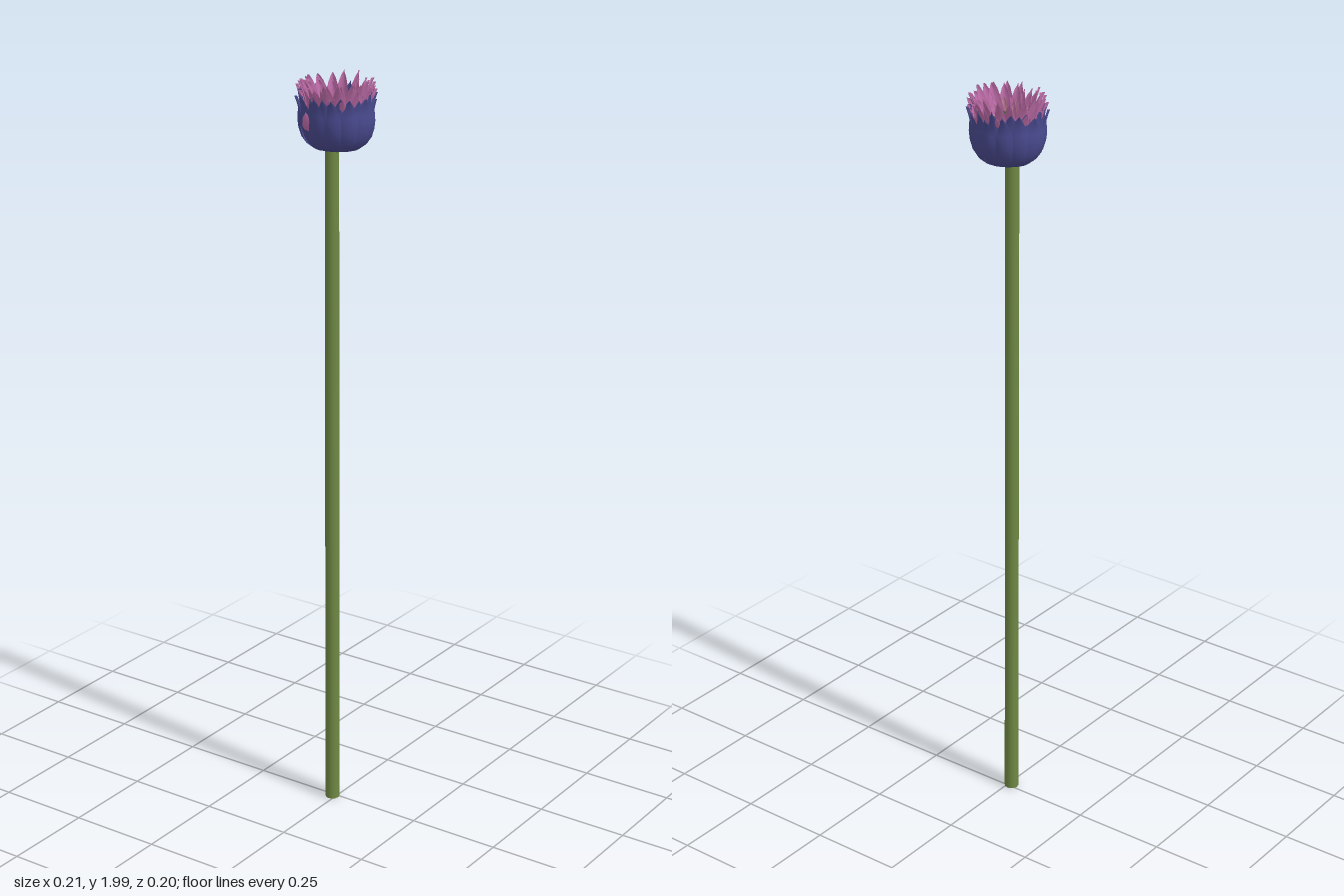
import * as THREE from 'three';
import { mergeGeometries } from 'three/addons/utils/BufferGeometryUtils.js';

const mat = (name, color) => {
  const m = new THREE.MeshStandardMaterial({ color, side: THREE.DoubleSide });
  m.name = name;
  return m;
};

// small seeded random, 0..1
let seed = 7;
const rand = () => {
  seed = (seed * 16807) % 2147483647;
  return seed / 2147483647;
};
const vary = (amount) => (rand() - 0.5) * 2 * amount;

// One petal: a strip following a [radius, height] curve, wrapped around the flower axis.
function petal(curve, angle, halfWidth, { widest = 0.6, point = 0.8, twist = 0.003, cup = 0.004, lift = 0, grow = 1 }) {
  const rows = 10, cols = 4, pos = [], index = [];
  for (let i = 0; i <= rows; i++) {
    const t = i / rows, p = curve.getPoint(t);
    const taper = t < widest
      ? 0.4 + 0.6 * Math.sin((t / widest) * Math.PI / 2)
      : Math.pow(Math.max(0, 1 - ((t - widest) / (1 - widest)) ** 2), point);
    for (let j = 0; j <= cols; j++) {
      const s = (j / cols) * 2 - 1;
      const r = p.x * grow + (twist * s - cup * s * s) * Math.min(1, t * 2);
      const a = angle + (s * halfWidth * taper) / Math.max(p.x, 0.02);
      pos.push(Math.sin(a) * r, p.y + lift * t * t, Math.cos(a) * r);
    }
  }
  const n = cols + 1;
  for (let i = 0; i < rows; i++)
    for (let j = 0; j < cols; j++) {
      const k = i * n + j;
      index.push(k, k + 1, k + n, k + 1, k + n + 1, k + n);
    }
  const g = new THREE.BufferGeometry();
  g.setAttribute('position', new THREE.Float32BufferAttribute(pos, 3));
  g.setIndex(index);
  g.computeVertexNormals();
  return g;
}

// A ring of petals sharing one profile, merged into a single mesh.
function whorl(name, material, count, profile, halfWidth, opts = {}) {
  const curve = new THREE.SplineCurve(profile.map(([r, y]) => new THREE.Vector2(r, y)));
  const parts = [];
  for (let i = 0; i < count; i++) {
    const angle = (i / count) * Math.PI * 2 + (opts.start ?? 0) + vary(opts.jitter ?? 0.05);
    parts.push(petal(curve, angle, halfWidth, {
      ...opts, lift: vary(opts.uneven ?? 0.008), grow: 1 + vary(0.02),
    }));
  }
  const mesh = new THREE.Mesh(mergeGeometries(parts), material);
  mesh.name = name;
  return mesh;
}

export function createModel() {
  const model = new THREE.Group();
  model.name = 'flower';
  const stemGreen = mat('stem green', 0x6f8843);
  const cutBrown = mat('cut end brown', 0x7a5548);
  const blue = mat('outer petal blue', 0x4a4a90);
  const pink = mat('petal pink', 0xbe6ca8);
  const rose = mat('petal rose', 0xc8809c);
  const peach = mat('inner petal peach', 0xdca878);
  const orange = mat('heart petal orange', 0xcf9058);
  const leafGreen = mat('leaf green', 0x5f9040);
  const dark = mat('heart dark', 0x4a3a28);

  // Stem with a brown cut end
  const stem = new THREE.Mesh(
    new THREE.CylinderGeometry(0.018, 0.019, 1.83, 12), [stemGreen, stemGreen, cutBrown]);
  stem.position.set(-0.01, 0.915, 0.008);
  stem.name = 'stem';
  model.add(stem);

  const head = new THREE.Group();
  head.name = 'flowerHead';
  head.position.x = -0.001;
  head.scale.z = 0.92;
  model.add(head);

  // Green base joining stem and petals
  const base = new THREE.Mesh(new THREE.SphereGeometry(0.03, 14, 8), stemGreen);
  base.scale.y = 0.4;
  base.position.set(-0.006, 1.82, 0.004);
  base.name = 'receptacle';
  head.add(base);

  // Blue outer cup, two overlapping rings with flared points
  head.add(whorl('outerPetals', blue, 14,
    [[0.012, 1.815], [0.06, 1.817], [0.09, 1.848], [0.099, 1.89], [0.097, 1.92], [0.106, 1.95]],
    0.026, { widest: 0.6, point: 1.1 }));
  head.add(whorl('outerPetalsBehind', blue, 14,
    [[0.012, 1.818], [0.056, 1.82], [0.086, 1.85], [0.095, 1.89], [0.093, 1.925], [0.1, 1.958]],
    0.026, { widest: 0.6, point: 1.1, start: 0.224 }));

  // One short pink petal lying on the front of the cup
  head.add(whorl('strayPetal', pink, 1,
    [[0.094, 1.862], [0.104, 1.88], [0.105, 1.897], [0.101, 1.915]],
    0.02, { start: -0.36, jitter: 0, uneven: 0 }));

  // Pink rings stepping inward, their pointed tips leaning outward
  const rings = [
    // waist radius, tip radius, tip height, count, material
    [0.087, 0.104, 1.965, 18, pink],
    [0.081, 0.099, 1.982, 17, pink],
    [0.075, 0.093, 1.982, 16, pink],
    [0.070, 0.087, 1.968, 15, pink],
    [0.065, 0.080, 1.945, 14, rose],
  ];
  rings.forEach(([waist, tip, y, count, material], i) => {
    head.add(whorl(`pinkPetals${i + 1}`, material, count,
      [[waist * 0.65, 1.835], [waist * 0.95, 1.865], [waist, 1.9], [waist + 0.003, y - 0.038], [tip, y]],
      0.016, { widest: 0.66, point: 1.1, start: i * 0.17, jitter: 0.08, uneven: 0.012 }));
  });

  // Broad green leaves leaning in over the bowl
  head.add(whorl('innerLeaves', leafGreen, 5,
    [[0.062, 1.875], [0.067, 1.895], [0.063, 1.913], [0.046, 1.926]],
    0.024, { widest: 0.45, point: 1.1, start: 0.88, jitter: 0.15, cup: 0 }));

  // Peach bowl and orange rosette
  const heart = new THREE.Group();
  heart.name = 'heart';
  heart.position.x = -0.006;
  head.add(heart);
  heart.add(whorl('bowlPetals', peach, 15,
    [[0.004, 1.848], [0.03, 1.85], [0.052, 1.872], [0.063, 1.912]],
    0.014, { widest: 0.7, cup: -0.002 }));
  heart.add(whorl('heartPetalsOuter', peach, 13,
    [[0.003, 1.855], [0.024, 1.86], [0.043, 1.872], [0.055, 1.892]],
    0.011, { widest: 0.7, point: 0.6, start: 0.2, cup: -0.002 }));
  heart.add(whorl('heartPetalsInner', orange, 13,
    [[0.002, 1.862], [0.017, 1.868], [0.033, 1.877], [0.045, 1.89]],
    0.0085, { widest: 0.7, point: 0.6, start: 0.1, cup: -0.003 }));

  const eye = new THREE.Mesh(new THREE.SphereGeometry(0.007, 10, 6), dark);
  eye.position.y = 1.866;
  eye.name = 'heartCentre';
  heart.add(eye);
  return model;
}
